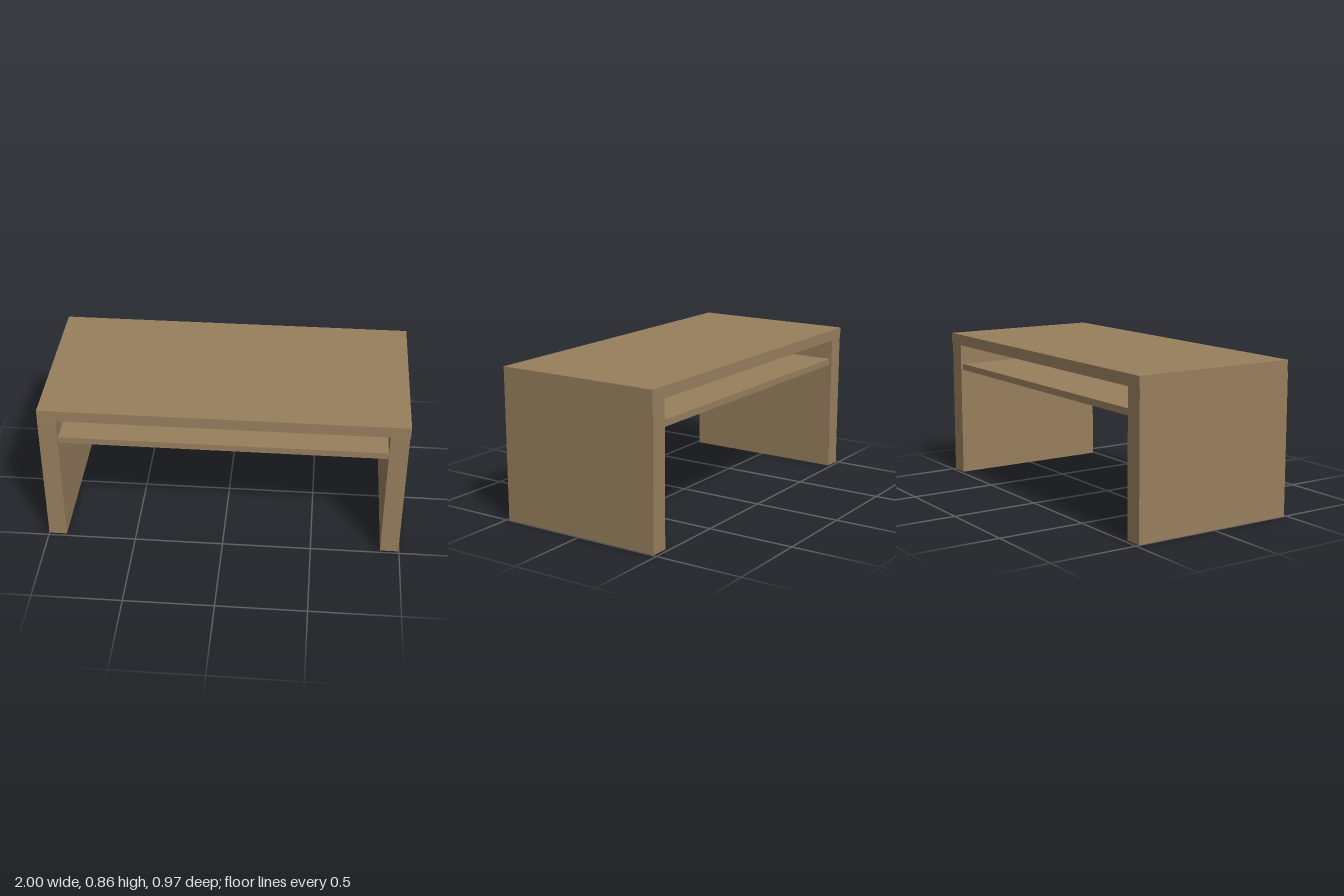
import * as THREE from 'three';

export function createModel() {
  const group = new THREE.Group();
  const wood = new THREE.MeshStandardMaterial({ color: 0x977f5d });
  wood.name = 'wood';

  // Box given by its lower and upper limits on each axis
  function board(name, [x0, x1], [y0, y1], [z0, z1]) {
    const mesh = new THREE.Mesh(new THREE.BoxGeometry(x1 - x0, y1 - y0, z1 - z0), wood);
    mesh.name = name;
    mesh.position.set((x0 + x1) / 2, (y0 + y1) / 2, (z0 + z1) / 2);
    group.add(mesh);
  }

  // Top board, set a hair behind the side panels
  board('tableTop', [-1, 1], [0.797, 0.861], [-0.484, 0.481]);

  // Full-depth side panels
  board('rightPanel', [-1, -0.898], [0, 0.797], [-0.481, 0.484]);
  board('leftPanel', [0.893, 0.996], [0, 0.797], [-0.481, 0.484]);

  // Thin shelf between the panels
  board('shelf', [-0.898, 0.893], [0.643, 0.68], [-0.468, 0.468]);

  return group;
}
